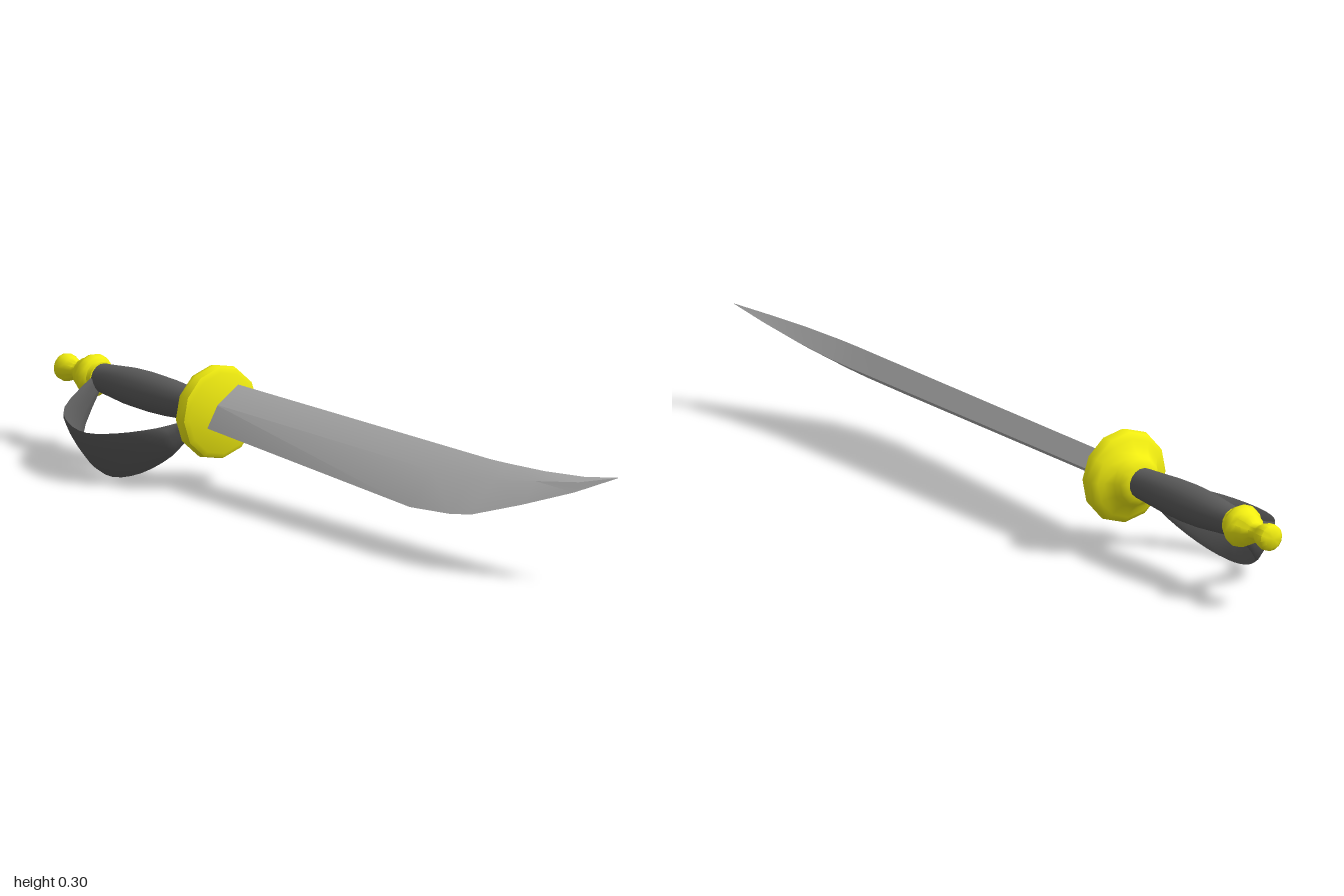
import * as THREE from 'three';
import { toCreasedNormals } from 'three/addons/utils/BufferGeometryUtils.js';

const steel = new THREE.MeshStandardMaterial({ color: 0xb4b4b4 });
const dark = new THREE.MeshStandardMaterial({ color: 0x5a5a5a });
const gold = new THREE.MeshStandardMaterial({ color: 0xf0ec10 });

// Skin closed rings of points (counter-clockwise about the path) and cap both ends
function loft(rings) {
  const n = rings[0].length;
  const pos = rings.flat().flatMap(p => [p.x, p.y, p.z]);
  const index = [];
  for (let i = 0; i < rings.length - 1; i++) {
    for (let j = 0; j < n; j++) {
      const a = i * n + j, b = i * n + (j + 1) % n;
      index.push(a, b, b + n, a, b + n, a + n);
    }
  }
  const last = (rings.length - 1) * n;
  for (let j = 1; j < n - 1; j++) {
    index.push(0, j + 1, j, last, last + j, last + j + 1);
  }
  const geo = new THREE.BufferGeometry();
  geo.setAttribute('position', new THREE.Float32BufferAttribute(pos, 3));
  geo.setIndex(index);
  return geo;
}

// Turned part along z, profile given as [radius, z] with z rising
function turned(profile, sides) {
  const pts = profile.map(([r, z]) => new THREE.Vector2(r, z));
  return new THREE.LatheGeometry(pts, sides).rotateX(Math.PI / 2);
}

function addPart(parent, name, geometry, material, crease) {
  const mesh = new THREE.Mesh(toCreasedNormals(geometry, crease), material);
  mesh.name = name;
  parent.add(mesh);
}

// Blade: thick spine at +x, parallel flanks, bevel down to a sharp edge at -x
function bladeGeometry() {
  // z, spine, bevel start, edge, half thickness
  const stations = [
    [-0.40, 0.075, 0, -0.055, 0.027],
    [0.46, 0.075, -0.005, -0.108, 0.027],
    [0.60, 0.075, 0.005, -0.094, 0.027],
    [0.667, 0.079, 0.02, -0.078, 0.026],
    [0.79, 0.091, 0.055, -0.008, 0.021],
    [0.91, 0.115, 0.095, 0.07, 0.011],
    [0.998, 0.148, 0.147, 0.146, 0.0005],
  ];
  return loft(stations.map(([z, spine, bevel, edge, h]) => [
    [spine, -h], [spine, h], [bevel, h], [edge, 0], [bevel, -h],
  ].map(([x, y]) => new THREE.Vector3(x, y, z))));
}

// Knuckle bow: curved band, widest in the middle, with a thin lens section
function bowGeometry() {
  // x, half width, z
  const path = new THREE.CatmullRomCurve3([
    [0, 0.018, -0.862], [-0.035, 0.025, -0.853], [-0.15, 0.05, -0.807],
    [-0.204, 0.067, -0.72], [-0.22, 0.072, -0.631], [-0.19, 0.065, -0.545],
    [-0.13, 0.045, -0.475], [-0.086, 0.028, -0.453], [-0.06, 0.02, -0.435],
  ].map(p => new THREE.Vector3(...p)));
  const rings = [];
  const steps = 24, sides = 10;
  for (let i = 0; i <= steps; i++) {
    const p = path.getPoint(i / steps);
    const t = path.getTangent(i / steps);
    const side = new THREE.Vector3(t.z, 0, -t.x).normalize();
    const ring = [];
    for (let j = 0; j < sides; j++) {
      const a = j / sides * Math.PI * 2 + Math.PI / 2;
      const q = new THREE.Vector3(p.x, Math.sin(a) * p.y, p.z);
      ring.push(q.addScaledVector(side, Math.cos(a) * 0.009));
    }
    rings.push(ring);
  }
  return loft(rings);
}

export function createModel() {
  const sword = new THREE.Group();
  sword.name = 'sword';

  addPart(sword, 'blade', bladeGeometry(), steel, 0.4);

  // Round hand guard, stepped down to the grip
  addPart(sword, 'handGuard', turned([
    [0.03, -0.485], [0.045, -0.483], [0.058, -0.472], [0.066, -0.458],
    [0.083, -0.442], [0.098, -0.436], [0.112, -0.425], [0.116, -0.41],
    [0.112, -0.393], [0.1, -0.386], [0, -0.386],
  ], 12), gold, 0.8);

  // Swelling grip
  addPart(sword, 'grip', turned([
    [0, -0.865], [0.034, -0.865], [0.039, -0.81], [0.046, -0.74],
    [0.048, -0.67], [0.046, -0.6], [0.041, -0.53], [0.037, -0.47],
  ], 16), dark, 1);

  // Pommel: collar, neck and end knob
  addPart(sword, 'pommel', turned([
    [0, -1.013], [0.022, -1.012], [0.032, -1.004], [0.034, -0.99],
    [0.028, -0.972], [0.02, -0.955], [0.022, -0.938], [0.036, -0.926],
    [0.04, -0.908], [0.049, -0.9], [0.053, -0.886], [0.048, -0.873],
    [0.04, -0.868], [0.038, -0.855], [0, -0.853],
  ], 14), gold, 0.8);

  addPart(sword, 'knuckleBow', bowGeometry(), dark, 1);

  // Roll about the long axis, then turn slightly to the side
  sword.rotation.z = 0.585;
  sword.position.set(-0.02, 0.192, 0);
  const model = new THREE.Group();
  model.name = 'cutlass';
  model.rotation.y = -0.185;
  model.add(sword);
  const root = new THREE.Group();
  root.add(model);
  return root;
}
